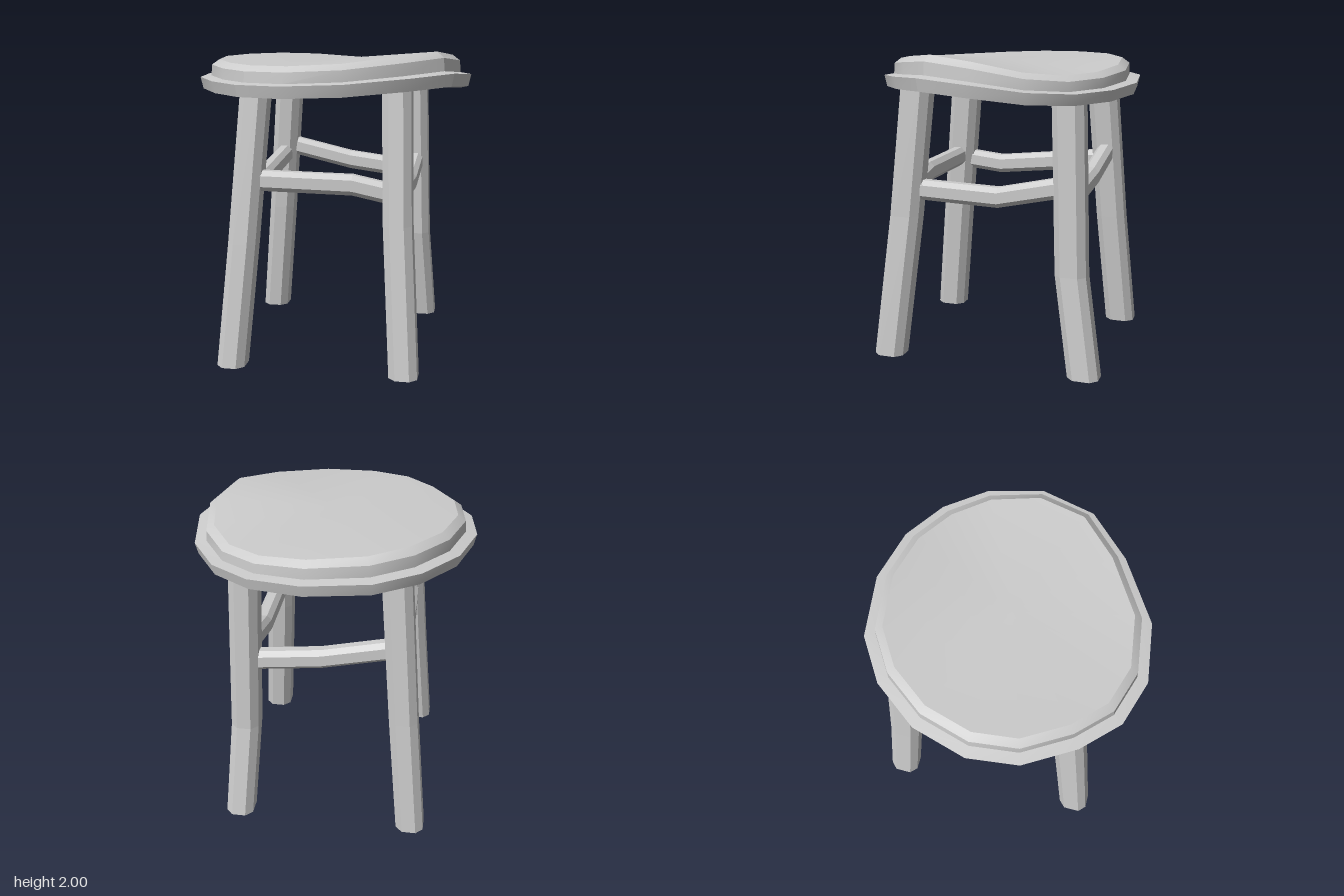
import * as THREE from 'three';
import { toCreasedNormals } from 'three/addons/utils/BufferGeometryUtils.js';

const smooth = new THREE.MeshStandardMaterial({ color: 0xcccccc });
const flat = new THREE.MeshStandardMaterial({ color: 0xcccccc, flatShading: true });

// Skin a stack of equal-length rings and cap both ends with fans
function loft(rings, bottomCentre, topCentre) {
  const n = rings[0].length, pos = [], index = [];
  rings.forEach(r => r.forEach(p => pos.push(p.x, p.y, p.z)));
  const last = (rings.length - 1) * n, b = rings.length * n, t = b + 1;
  pos.push(...bottomCentre.toArray(), ...topCentre.toArray());
  for (let i = 0; i < n; i++) {
    const j = (i + 1) % n;
    for (let k = 0; k < last; k += n) {
      index.push(k + i, k + n + i, k + j, k + j, k + n + i, k + n + j);
    }
    index.push(b, i, j, t, last + j, last + i);
  }
  const g = new THREE.BufferGeometry();
  g.setAttribute('position', new THREE.Float32BufferAttribute(pos, 3));
  g.setIndex(index);
  return g;
}

// Square with cut corners, half sizes a and b, corner cut c
const chamfered = (a, b, c) => [
  [a, b - c], [a - c, b], [c - a, b], [-a, b - c],
  [-a, c - b], [c - a, -b], [a - c, -b], [a, c - b]];

// Beam along a path; toPoint places a section corner (u, v) at a path point
function beam(name, path, section, toPoint) {
  const pts = path.map(p => new THREE.Vector3(...p));
  const rings = pts.map(p => section.map(([u, v]) => toPoint(p, u, v)));
  const mesh = new THREE.Mesh(loft(rings, pts[0], pts[pts.length - 1]), flat);
  mesh.name = name;
  return mesh;
}

// Uneven seat outline, clockwise from the back: x, z, warp in height
const outline = [
  [0.065, -0.88, -0.02], [0.40, -0.80, -0.045], [0.65, -0.63, -0.055], [0.825, -0.38, -0.03],
  [0.89, -0.03, 0.03], [0.80, 0.31, 0.06], [0.555, 0.57, 0.035], [0.185, 0.815, 0],
  [-0.185, 0.87, -0.015], [-0.47, 0.78, -0.015], [-0.68, 0.57, -0.01], [-0.86, 0.27, 0],
  [-0.90, -0.045, 0.01], [-0.805, -0.385, 0.015], [-0.60, -0.66, 0.015], [-0.335, -0.83, 0.005]];

// Seat profile: scale of the outline, height, share of the warp
const profile = [
  [0.98, 1.75, 0.6], [1, 1.825, 0.7], [0.92, 1.835, 0.75], [0.915, 1.905, 0.95], [0.86, 1.94, 1]];

function makeSeat() {
  const rings = profile.map(([s, y, w]) =>
    outline.map(([x, z, h]) => new THREE.Vector3(x * s, y + h * w, z * s)));
  const g = loft(rings, new THREE.Vector3(0, 1.75, 0), new THREE.Vector3(0, 1.94, 0));
  const mesh = new THREE.Mesh(toCreasedNormals(g, 0.45), smooth);
  mesh.name = 'seat';
  return mesh;
}

export function createModel() {
  const group = new THREE.Group();
  group.name = 'stool';
  group.add(makeSeat());

  // Slightly crooked splayed legs, foot to top
  const legs = {
    frontLeftLeg: [[0.55, 0, 0.64], [0.49, 0.95, 0.53], [0.465, 1.79, 0.445]],
    backLeftLeg: [[0.545, 0, -0.69], [0.50, 0.65, -0.59], [0.47, 1.76, -0.55]],
    frontRightLeg: [[-0.565, 0, 0.635], [-0.50, 0.8, 0.55], [-0.43, 1.79, 0.445]],
    backRightLeg: [[-0.605, 0, -0.69], [-0.53, 0.8, -0.62], [-0.45, 1.79, -0.55]],
  };
  const legSection = chamfered(0.09, 0.1, 0.045);
  for (const [name, path] of Object.entries(legs)) {
    group.add(beam(name, path, legSection, (p, u, v) => new THREE.Vector3(p.x + u, p.y, p.z + v)));
  }

  // Bent rails between the legs
  const railSection = chamfered(0.055, 0.065, 0.03);
  const alongX = (p, u, v) => new THREE.Vector3(p.x, p.y + v, p.z - u);
  const alongZ = (p, u, v) => new THREE.Vector3(p.x + u, p.y + v, p.z);
  // sections must wind the same way round the path, so z rails run from front to back
  group.add(
    beam('frontRail', [[0.47, 1.13, 0.51], [0.2, 1.185, 0.51], [-0.46, 1.195, 0.51]], railSection, alongX),
    beam('backRail', [[0.48, 1.115, -0.57], [0, 1.175, -0.58], [-0.48, 1.285, -0.585]], railSection, alongX),
    beam('leftRail', [[0.48, 1.125, 0.5], [0.48, 1.105, -0.1], [0.485, 1.205, -0.56]], railSection, alongZ),
    beam('rightRail', [[-0.47, 1.175, 0.5], [-0.48, 1.14, 0.2], [-0.49, 1.22, -0.58]], railSection, alongZ));
  return group;
}
